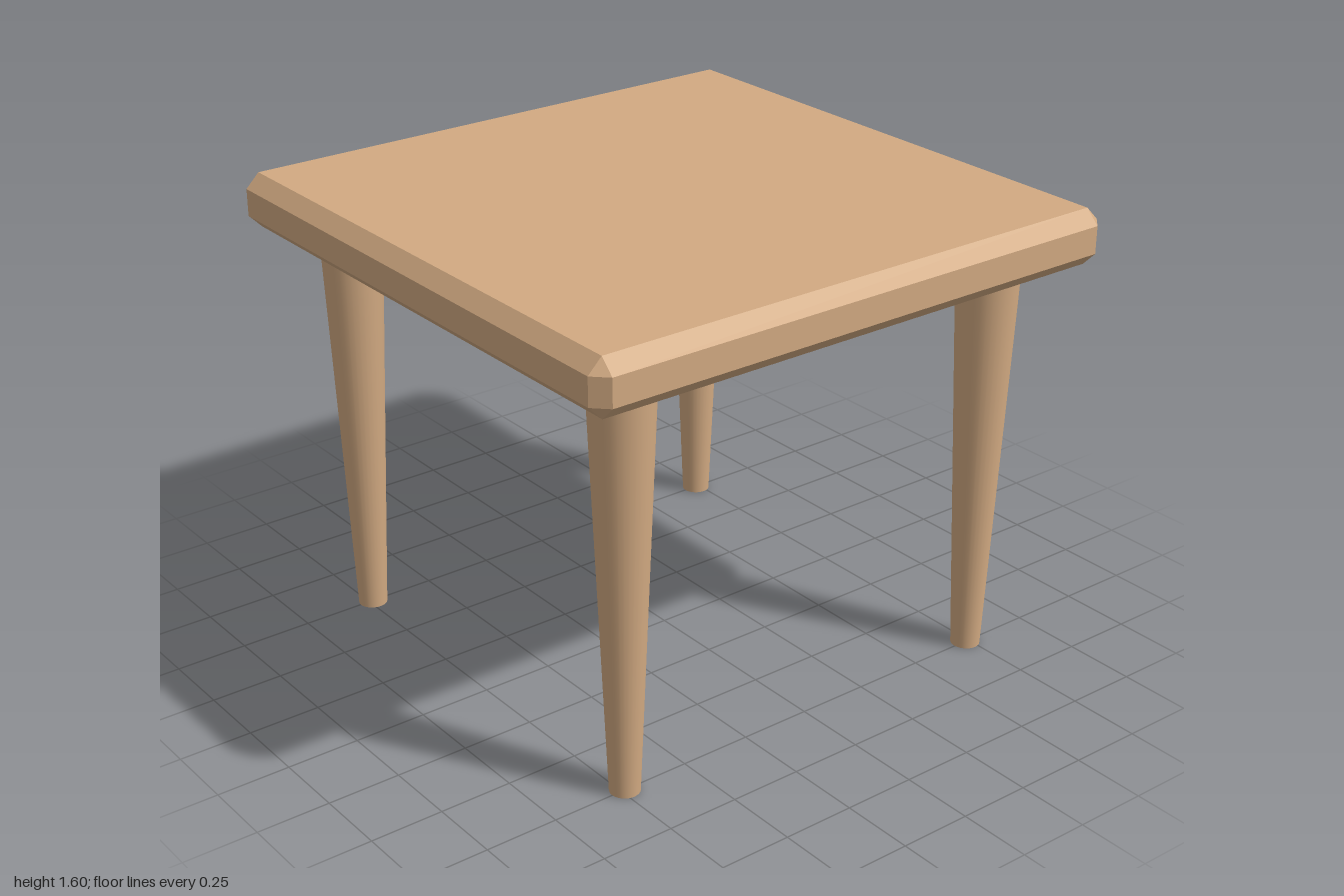
import * as THREE from 'three';
import { ConvexGeometry } from 'three/addons/geometries/ConvexGeometry.js';

// Box with every edge and corner chamfered
function chamferedBox(width, height, depth, c) {
  const x = width / 2, y = height / 2, z = depth / 2;
  const points = [];
  for (const sx of [-1, 1]) for (const sy of [-1, 1]) for (const sz of [-1, 1]) {
    points.push(
      new THREE.Vector3(sx * x, sy * (y - c), sz * (z - c)),
      new THREE.Vector3(sx * (x - c), sy * y, sz * (z - c)),
      new THREE.Vector3(sx * (x - c), sy * (y - c), sz * z),
    );
  }
  return new ConvexGeometry(points);
}

export function createModel() {
  const table = new THREE.Group();
  table.name = 'table';
  const wood = new THREE.MeshStandardMaterial({ color: 0xd2aa82 });
  wood.name = 'light wood';

  const legHeight = 1.41, topThickness = 0.19;

  // Square top with chamfered edges
  const top = new THREE.Mesh(chamferedBox(2, topThickness, 2, 0.048), wood);
  top.name = 'tableTop';
  top.position.y = legHeight + topThickness / 2;
  table.add(top);

  // Four round legs tapering to the floor
  const legGeometry = new THREE.CylinderGeometry(0.107, 0.05, legHeight, 32);
  for (const [end, z] of [['front', 0.748], ['back', -0.748]]) {
    for (const [side, x] of [['Left', 0.735], ['Right', -0.735]]) {
      const leg = new THREE.Mesh(legGeometry, wood);
      leg.name = `${end}${side}Leg`;
      leg.position.set(x, legHeight / 2, z);
      table.add(leg);
    }
  }
  return table;
}
